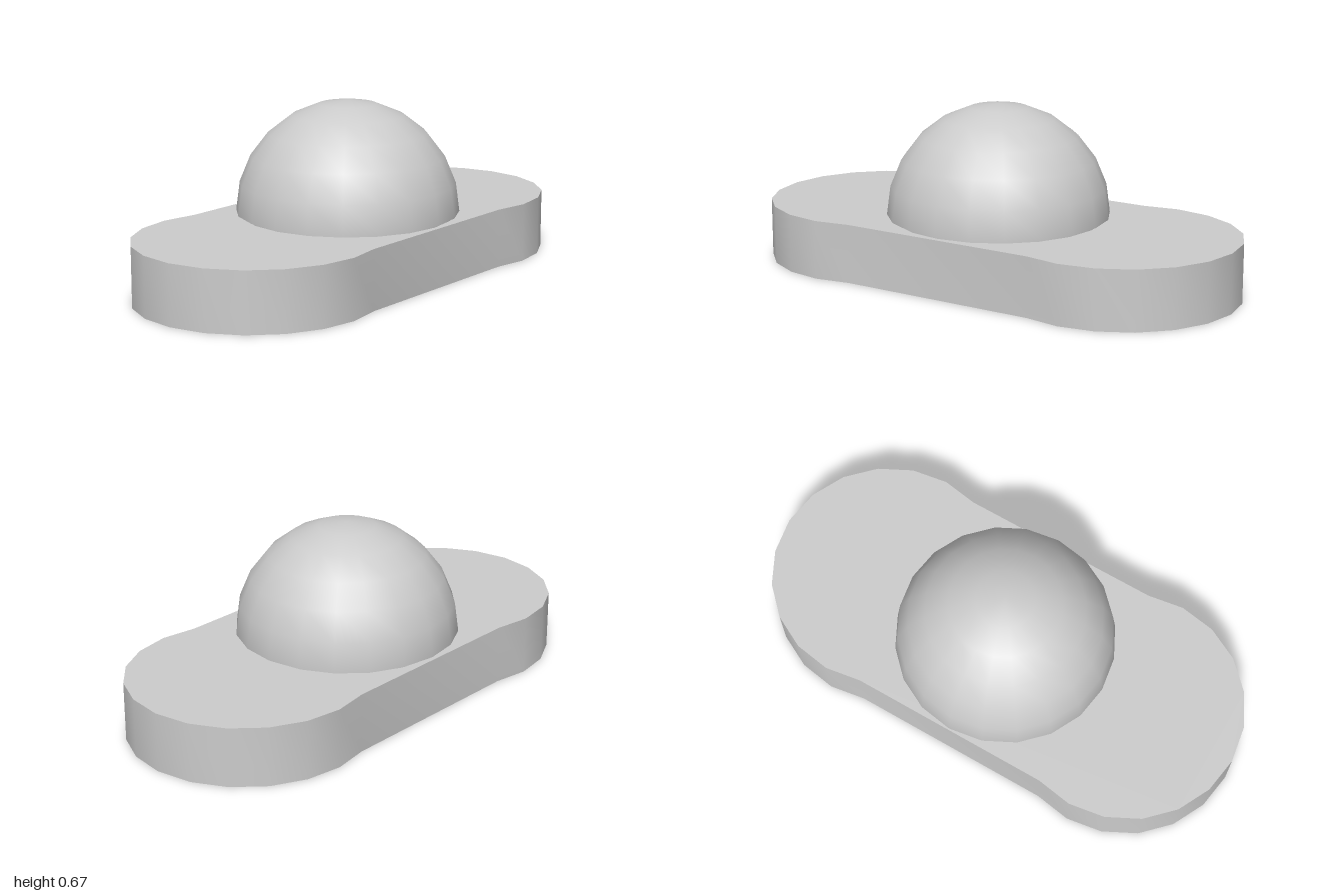
import * as THREE from 'three';
import { toCreasedNormals } from 'three/addons/utils/BufferGeometryUtils.js';

const SIDES = 20;
const END_X = 0.542, END_R = 0.458;
const BASE_H = 0.23, DOME_Y = 0.24, DOME_R = 0.432, NECK_R = 0.415;

export function createModel() {
  const group = new THREE.Group();
  const grey = new THREE.MeshStandardMaterial({ color: 0xcccccc });
  const add = (name, geometry) => {
    const mesh = new THREE.Mesh(geometry, grey);
    mesh.name = name;
    group.add(mesh);
    return mesh;
  };

  // Base slab: two rounded ends joined by a slightly narrower waist
  const outline = [];
  for (const side of [1, -1]) {
    for (let i = -6; i <= 6; i++) {
      const a = (i / SIDES) * Math.PI * 2;
      outline.push(new THREE.Vector2(
        side * (END_X + END_R * Math.cos(a)),
        side * END_R * Math.sin(a)));
    }
  }
  const slab = new THREE.ExtrudeGeometry(new THREE.Shape(outline), { depth: BASE_H, bevelEnabled: false });
  slab.rotateX(-Math.PI / 2);
  add('base', toCreasedNormals(slab, 0.6));

  // Short recessed neck between base and dome
  const neck = add('neck', new THREE.CylinderGeometry(NECK_R, NECK_R, DOME_Y - BASE_H, SIDES, 1, true));
  neck.position.y = (DOME_Y + BASE_H) / 2;

  // Dome and the narrow rim beneath it
  const dome = add('dome', new THREE.SphereGeometry(DOME_R, SIDES, 6, 0, Math.PI * 2, 0, Math.PI / 2));
  dome.position.y = DOME_Y;
  const rim = add('domeRim', new THREE.RingGeometry(NECK_R, DOME_R, SIDES));
  rim.rotation.x = Math.PI / 2;
  rim.position.y = DOME_Y;

  return group;
}
